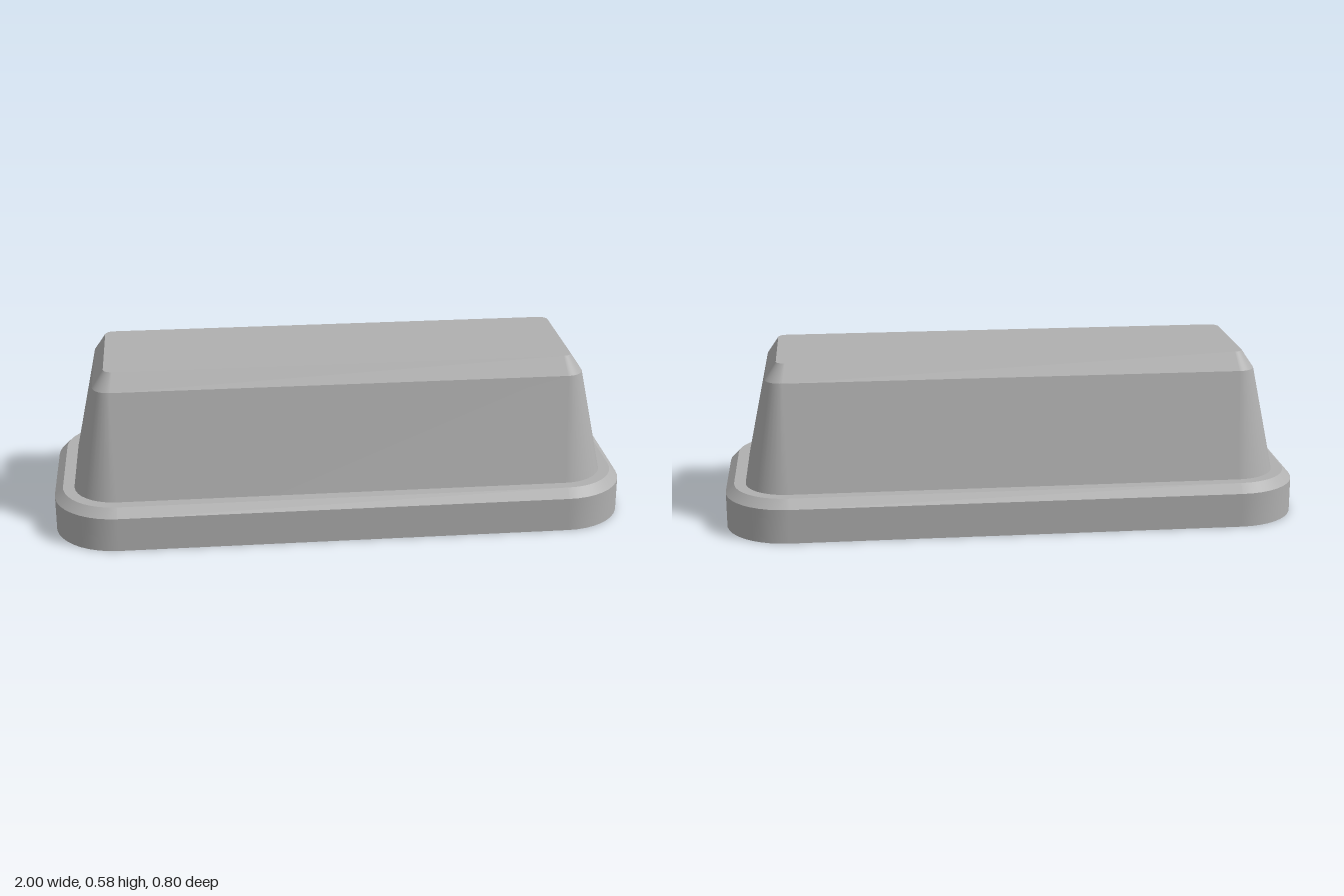
import * as THREE from 'three';

const ARC = 10; // segments per rounded corner

const grey = new THREE.MeshStandardMaterial({ color: 0xb0b0b0, side: THREE.DoubleSide });
grey.name = 'grey';

// Rounded rectangle outline at height y: half width w, half depth d, corner radius r
function ring([y, w, d, r]) {
  const points = [];
  const corners = [[1, 1], [-1, 1], [-1, -1], [1, -1]];
  corners.forEach(([sx, sz], q) => {
    for (let i = 0; i <= ARC; i++) {
      const a = (q + i / ARC) * Math.PI / 2;
      points.push(new THREE.Vector3(
        sx * (w - r) + r * Math.cos(a), y, sz * (d - r) + r * Math.sin(a)));
    }
  });
  return points;
}

// Wall between two outlines, smooth around and sharp at both edges
function band(lower, upper) {
  const a = ring(lower), b = ring(upper), n = a.length;
  const index = [];
  for (let i = 0; i < n; i++) {
    const j = (i + 1) % n;
    index.push(i, n + i, j, j, n + i, n + j);
  }
  const geometry = new THREE.BufferGeometry().setFromPoints([...a, ...b]);
  geometry.setIndex(index);
  geometry.computeVertexNormals();
  return geometry;
}

// Flat lid filling an outline
function lid(section) {
  const points = ring(section), n = points.length;
  const index = [];
  for (let i = 0; i < n; i++) index.push(n, (i + 1) % n, i);
  points.push(new THREE.Vector3(0, section[0], 0));
  const geometry = new THREE.BufferGeometry().setFromPoints(points);
  geometry.setIndex(index);
  geometry.computeVertexNormals();
  return geometry;
}

export function createModel() {
  const model = new THREE.Group();
  model.name = 'hollowCover';

  // Height, half width, half depth, corner radius
  const foot = [0, 1, 0.4, 0.22];
  const rimShoulder = [0.12, 1, 0.4, 0.22];
  const rimTop = [0.15, 0.97, 0.37, 0.19];
  const bodyFoot = [0.15, 0.93, 0.33, 0.15];
  const bodyShoulder = [0.52, 0.85, 0.25, 0.06];
  const bodyTop = [0.58, 0.81, 0.21, 0.03];

  const parts = {
    rimWall: band(foot, rimShoulder),
    rimChamfer: band(rimShoulder, rimTop),
    rimLedge: band(rimTop, bodyFoot),
    bodyWall: band(bodyFoot, bodyShoulder),
    bodyChamfer: band(bodyShoulder, bodyTop),
    bodyLid: lid(bodyTop),
  };
  for (const [name, geometry] of Object.entries(parts)) {
    const mesh = new THREE.Mesh(geometry, grey);
    mesh.name = name;
    model.add(mesh);
  }
  return model;
}
